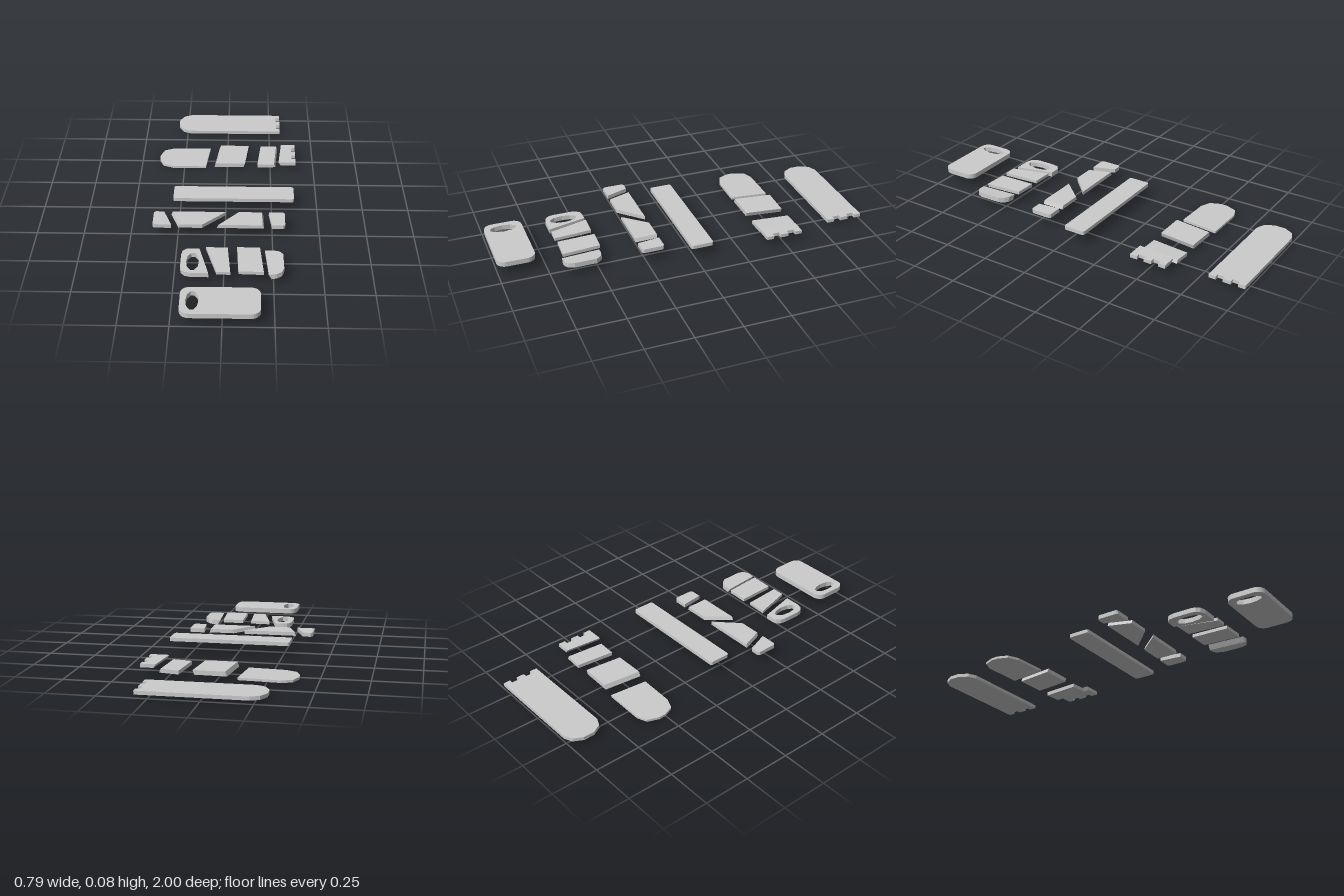
import * as THREE from 'three';

const material = new THREE.MeshStandardMaterial({ color: 0xcccccc, flatShading: true, side: THREE.DoubleSide });

// Plan outline from [x, z] corners
function outline(points) {
  return new THREE.Shape(points.map(([x, z]) => new THREE.Vector2(x, -z)));
}

// Rounded rectangle in plan
function roundedPlan(x0, x1, z0, z1, r) {
  const s = new THREE.Shape();
  s.absarc(x1 - r, -z0 - r, r, 0, Math.PI / 2);
  s.absarc(x0 + r, -z0 - r, r, Math.PI / 2, Math.PI);
  s.absarc(x0 + r, -z1 + r, r, Math.PI, Math.PI * 1.5);
  s.absarc(x1 - r, -z1 + r, r, Math.PI * 1.5, Math.PI * 2);
  return s;
}

// Oval finger hole
function addHole(shape, x, z, rx, rz) {
  const hole = new THREE.Path();
  hole.absellipse(x, -z, rx, rz, 0, Math.PI * 2, true);
  shape.holes.push(hole);
  return shape;
}

// Flat board: cutL / cutR shift the lower edge of each end, tilt raises +x
function board(name, shape, y0, y1, { cutL = 0, cutR = 0, tilt = 0 } = {}) {
  const geo = new THREE.ExtrudeGeometry(shape, { depth: y1 - y0, bevelEnabled: false, curveSegments: 5 });
  geo.rotateX(-Math.PI / 2);
  geo.computeBoundingBox();
  const mid = (geo.boundingBox.min.x + geo.boundingBox.max.x) / 2;
  const p = geo.attributes.position;
  for (let i = 0; i < p.count; i++) {
    const x = p.getX(i), y = p.getY(i);
    if (y < 1e-5) p.setX(i, x + (x < mid ? cutL : cutR));
    p.setY(i, y + y0 + (x - mid) * tilt);
  }
  geo.computeVertexNormals();
  const mesh = new THREE.Mesh(geo, material);
  mesh.name = name;
  return mesh;
}

// Toothed right end, running from the back corner to the front one
function teeth(x, depth, z0, z1) {
  const at = (t) => z0 + (z1 - z0) * t;
  const pts = [[x, z0]];
  for (const [a, b] of [[0.19, 0.39], [0.61, 0.8]]) {
    pts.push([x, at(a)], [x - depth, at(a)], [x - depth, at(b)], [x, at(b)]);
  }
  pts.push([x, z1]);
  return pts;
}

export function createModel() {
  const model = new THREE.Group();
  model.name = 'boardSet';

  // Long board with round nose and toothed end
  const nose = [[-0.23, -0.8], [-0.275, -0.82], [-0.303, -0.87], [-0.303, -0.93], [-0.275, -0.98], [-0.23, -1]];
  model.add(board('toothedBoard', outline([...nose, ...teeth(0.315, 0.022, -1, -0.8)]), 0.017, 0.036));

  // The same board in four pieces
  const brokenToothed = new THREE.Group();
  brokenToothed.name = 'brokenToothedBoard';
  brokenToothed.add(
    board('nosePiece', outline([[-0.398, -0.54], [-0.375, -0.6], [-0.32, -0.622], [-0.103, -0.62],
      [-0.125, -0.415], [-0.315, -0.42], [-0.375, -0.445], [-0.398, -0.5]]), 0.002, 0.015, { tilt: 0.014 }),
    board('wideMiddlePiece', outline([[-0.04, -0.615], [0.125, -0.61], [0.103, -0.408], [-0.064, -0.408]]),
      0.018, 0.042, { cutL: -0.01, cutR: -0.008 }),
    board('narrowMiddlePiece', outline([[0.195, -0.615], [0.288, -0.612], [0.272, -0.408], [0.175, -0.408]]),
      0.018, 0.038, { cutR: 0.008, tilt: 0.05 }),
    board('toothedPiece', outline([[0.297, -0.397], [0.316, -0.6], ...teeth(0.396, 0.022, -0.6, -0.397)]),
      0.04, 0.059, { cutL: 0.012 }),
  );
  model.add(brokenToothed);

  // Narrow bar
  model.add(board('narrowBar', roundedPlan(-0.287, 0.372, -0.1, 0.022, 0.012), 0.06, 0.08));

  // Narrow bar in four pieces
  const brokenBar = new THREE.Group();
  brokenBar.name = 'brokenNarrowBar';
  brokenBar.add(
    board('leftEndPiece', outline([[-0.382, 0.162], [-0.372, 0.152], [-0.328, 0.152], [-0.283, 0.274],
      [-0.372, 0.274], [-0.382, 0.264]]), 0.058, 0.08),
    board('longWedgePiece', outline([[-0.283, 0.152], [0.002, 0.152], [-0.12, 0.274], [-0.24, 0.274]]),
      0.06, 0.08, { cutL: -0.006 }),
    board('shortWedgePiece', outline([[0.072, 0.152], [0.195, 0.152], [0.198, 0.274], [-0.035, 0.274]]),
      0.06, 0.08, { cutL: -0.008, cutR: 0.008 }),
    board('rightEndPiece', outline([[0.232, 0.152], [0.308, 0.152], [0.317, 0.162], [0.317, 0.264],
      [0.308, 0.274], [0.247, 0.274]]), 0.058, 0.08),
  );
  model.add(brokenBar);

  // Short board with a finger hole, in four pieces
  const brokenShort = new THREE.Group();
  brokenShort.name = 'brokenHoledBoard';
  const holedEnd = outline([[-0.218, 0.51], [-0.212, 0.48], [-0.195, 0.462], [-0.17, 0.457], [-0.127, 0.457],
    [-0.075, 0.665], [-0.165, 0.665], [-0.195, 0.655], [-0.213, 0.636], [-0.218, 0.61]]);
  brokenShort.add(
    board('holedPiece', addHole(holedEnd, -0.157, 0.568, 0.033, 0.074), 0.035, 0.06),
    board('leftMiddlePiece', outline([[-0.093, 0.457], [0.018, 0.461], [0.034, 0.665], [-0.035, 0.665]]),
      0.052, 0.069),
    board('rightMiddlePiece', outline([[0.066, 0.457], [0.183, 0.461], [0.2, 0.665], [0.074, 0.66]]),
      0.053, 0.071),
    board('roundedEndPiece', outline([[0.207, 0.473], [0.25, 0.475], [0.282, 0.487], [0.3, 0.512], [0.302, 0.63],
      [0.29, 0.66], [0.265, 0.674], [0.224, 0.677]]), 0.039, 0.066, { cutL: 0.015, tilt: 0.09 }),
  );
  model.add(brokenShort);

  // Short board with a finger hole
  const short = addHole(roundedPlan(-0.205, 0.184, 0.797, 1, 0.048), -0.145, 0.9, 0.032, 0.072);
  model.add(board('holedBoard', short, 0.051, 0.078));

  return model;
}
